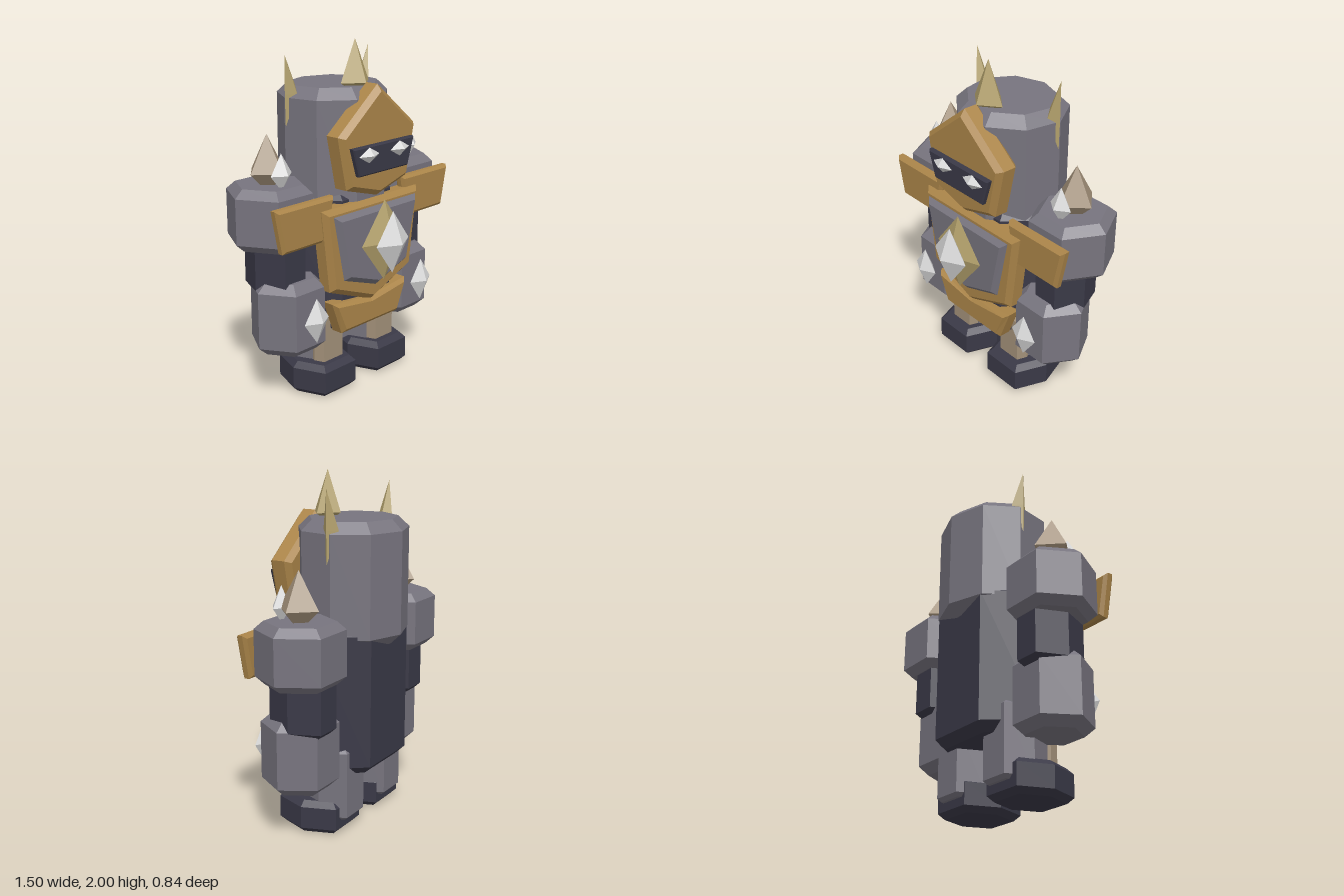
import * as THREE from 'three';

const mat = (name, color) => {
  const m = new THREE.MeshStandardMaterial({ color, flatShading: true });
  m.name = name;
  return m;
};

export function createModel() {
  const root = new THREE.Group();
  root.name = 'armouredFigure';
  const steel = mat('steelGrey', 0x77747e);
  const dark = mat('darkNavy', 0x3a3947);
  const gold = mat('gold', 0xab8549);
  const tan = mat('tan', 0xa3917a);
  const horn = mat('paleBrass', 0xb3a16c);
  const gem = mat('silverGem', 0xd8d8d8);

  const add = (name, geometry, material) => {
    const mesh = new THREE.Mesh(geometry, material);
    mesh.name = name;
    root.add(mesh);
    return mesh;
  };

  // Chamfered slab running from 0 to length along z
  const slab = (points, length, bevel) => {
    const shape = new THREE.Shape(points.map(([x, y]) => new THREE.Vector2(x, y)));
    const g = new THREE.ExtrudeGeometry(shape, {
      depth: length - 2 * bevel, bevelThickness: bevel, bevelSize: bevel,
      bevelOffset: -bevel, bevelSegments: 1, curveSegments: 1,
    });
    return g.translate(0, 0, bevel);
  };

  // Upright chamfered block from a plan outline centred on (x, z)
  const block = (name, material, plan, x, z, y0, y1, bevel) => {
    const g = slab(plan, y1 - y0, bevel).rotateX(-Math.PI / 2).translate(x, y0, z);
    return add(name, g, material);
  };

  // Six-sided plan with a flat front and back
  const hex = (rx, rz, flat = rx / 2) =>
    [[rx, 0], [flat, rz], [-flat, rz], [-rx, 0], [-flat, -rz], [flat, -rz]];

  // Front-facing plate: right half of the outline, top to bottom, is mirrored
  const plate = (name, material, half, z0, z1, bevel) => {
    const mirrored = half.filter(([x]) => x > 0).map(([x, y]) => [-x, y]).reverse();
    return add(name, slab([...half, ...mirrored], z1 - z0, bevel).translate(0, 0, z0), material);
  };

  // Four-sided double pyramid with separate top and bottom heights
  const crystal = (name, material, [x, y, z], rx, rz, up, down, lean = [0, 0]) => {
    const g = new THREE.OctahedronGeometry(1, 0);
    const p = g.attributes.position;
    for (let i = 0; i < p.count; i++) {
      const v = p.getY(i);
      const shift = v > 0.5 ? lean[0] : v < -0.5 ? lean[1] : 0;
      p.setXYZ(i, x + p.getX(i) * rx + shift, y + v * (v > 0 ? up : down), z + p.getZ(i) * rz);
    }
    g.computeVertexNormals();
    return add(name, g, material);
  };

  // Torso
  block('torso', dark, hex(0.4, 0.25), 0, -0.1, 0.34, 1.19, 0.05);

  // Nine-sided helmet, one corner pointing back
  const helmetPlan = [];
  for (let i = 0; i < 9; i++) {
    const a = Math.PI / 2 + (i * Math.PI * 2) / 9;
    helmetPlan.push([Math.cos(a) * 0.33, Math.sin(a) * 0.308]);
  }
  block('helmet', steel, helmetPlan, 0, -0.112, 1.06, 1.75, 0.06);

  // Face mask, visor and crest
  plate('faceMask', gold, [[0, 1.77], [0.31, 1.52], [0.245, 1.22], [0, 1.15]], 0.11, 0.25, 0.03);
  plate('visor', dark, [[0.25, 1.455], [0.2, 1.295]], 0.24, 0.28, 0.008);
  crystal('crestSpike', horn, [0, 1.765, 0.055], 0.112, 0.086, 0.235, 0.06);

  // Chest armour, stacked from back to front
  plate('chestFrame', gold, [[0.395, 1.125], [0.335, 0.65], [0, 0.52]], 0.08, 0.21, 0.03);
  plate('chestPlate', steel, [[0.34, 1.09], [0.26, 0.71], [0, 0.62]], 0.19, 0.25, 0.03);
  crystal('chestGemSetting', horn, [0, 0.9, 0.283], 0.185, 0.07, 0.235, 0.235);
  crystal('chestGem', gem, [0, 0.9, 0.345], 0.135, 0.073, 0.18, 0.18);

  // Belt plate with a dipped top edge
  plate('beltPlate', gold, [[0, 0.535], [0.31, 0.57], [0.235, 0.375]], 0.08, 0.2, 0.025);

  for (const s of [1, -1]) {
    const side = s > 0 ? 'left' : 'right';

    // Head details
    crystal(side + 'Eye', gem, [s * 0.125, 1.405, 0.28], 0.08, 0.035, 0.043, 0.043);
    crystal(side + 'Horn', horn, [s * 0.287, 1.71, -0.15], 0.048, 0.048, 0.215, 0.18,
      [s * 0.046, s * 0.045]);

    // Arm
    block(side + 'Shoulder', steel, hex(0.24, 0.21, 0.125), s * 0.51, -0.1, 0.915, 1.26, 0.045);
    block(side + 'UpperArm', dark, hex(0.145, 0.165, 0.075), s * 0.485, -0.095, 0.64, 0.97, 0.03);
    block(side + 'Forearm', steel, hex(0.22, 0.185, 0.11), s * 0.44, -0.045, 0.3, 0.725, 0.05);
    crystal(side + 'ForearmGem', gem, [s * 0.445, 0.52, 0.19], 0.093, 0.05, 0.13, 0.13);

    // Shoulder spikes and front guard
    crystal(side + 'ShoulderSpike', tan, [s * 0.52, 1.325, -0.1], 0.118, 0.125, 0.205, 0.12);
    crystal(side + 'ShoulderGem', gem, [s * 0.52, 1.325, 0.01], 0.075, 0.055, 0.115, 0.09);
    const guard = [[0.28, 1.19], [0.71, 1.19], [0.66, 0.945], [0.33, 0.945]];
    add(side + 'ShoulderGuard',
      slab(guard.map(([x, y]) => [x * s, y]), 0.065, 0.018).translate(0, 0, 0.11), gold);

    // Leg
    block(side + 'Leg', steel, hex(0.15, 0.15, 0.09), s * 0.21, -0.11, 0.08, 0.5, 0.02);
    block(side + 'ShinGuard', tan, hex(0.095, 0.06, 0.075), s * 0.22, 0.035, 0.12, 0.48, 0.015);
    block(side + 'Foot', dark, hex(0.195, 0.19, 0.125), s * 0.225, -0.03, 0, 0.19, 0.032);
  }
  return root;
}
